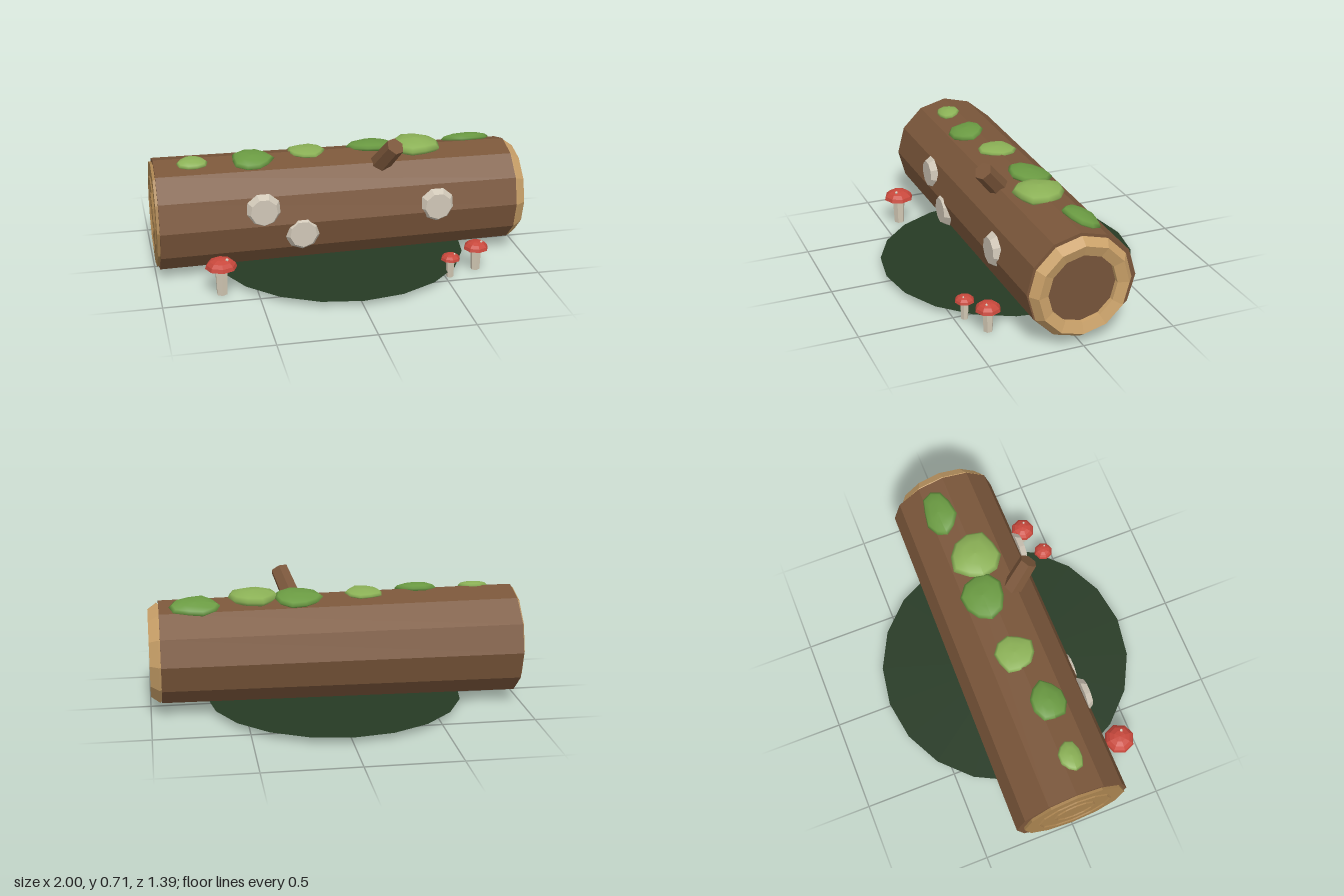
import * as THREE from 'three';

const mat = (color, flat = true) =>
  new THREE.MeshStandardMaterial({ color, flatShading: flat, side: THREE.DoubleSide });

const BARK = mat(0x7a563a), WOOD = mat(0xc9a068), CUT = mat(0xa8824f), HOLLOW = mat(0x75543a);
const MOSS = [mat(0x8bb156, false), mat(0x6a9a42, false)];
const RED = mat(0xc8483c), STEM = mat(0xd2c8b4), FUNGUS = mat(0xcfc6b6), SPOT = mat(0xd8cfc0);
const GRASS = mat(0x263a24), SHADE = mat(0x1c2b1a);
const AXIS_Y = 0.31;

export function createModel() {
  const model = new THREE.Group();
  const add = (name, geo, material, x = 0, y = 0, z = 0, parent = model) => {
    const mesh = new THREE.Mesh(geo, material);
    mesh.name = name;
    mesh.position.set(x, y, z);
    parent.add(mesh);
    return mesh;
  };

  // Tapered twelve-sided trunk lying along x, slightly fuller at the back
  const trunk = new THREE.CylinderGeometry(0.282, 0.3, 1.92, 12, 1).rotateZ(-Math.PI / 2);
  const p = trunk.attributes.position;
  for (let i = 0; i < p.count; i++) {
    const z = p.getZ(i);
    p.setZ(i, z < -0.2 ? z * 1.07 : z);
  }
  add('trunk', trunk, BARK, -0.02, AXIS_Y, 0);

  // Hollow end: faceted wooden rim around a dark disc
  add('hollowRim', new THREE.TorusGeometry(0.225, 0.05, 5, 12).rotateY(Math.PI / 2), WOOD, 0.95, AXIS_Y - 0.005, 0);
  add('hollowFace', new THREE.CircleGeometry(0.2, 12).rotateY(Math.PI / 2), HOLLOW, 0.953, AXIS_Y - 0.005, 0);

  // Sawn end with growth rings
  add('sawnFace', new THREE.CylinderGeometry(0.282, 0.282, 0.03, 12).rotateZ(Math.PI / 2), CUT, -0.979, AXIS_Y, 0);
  for (const r of [0.2, 0.11]) {
    add('growthRing', new THREE.TorusGeometry(r, 0.012, 4, 12).rotateY(Math.PI / 2), CUT, -0.988, AXIS_Y, 0);
  }

  // Broken branch stub leaning up and forward
  const base = new THREE.Vector3(0.195, 0.5, 0.09), tip = new THREE.Vector3(0.268, 0.68, 0.24);
  const dir = tip.clone().sub(base);
  const mid = base.clone().add(tip).multiplyScalar(0.5);
  const stub = add('branchStub', new THREE.CylinderGeometry(0.05, 0.056, dir.length(), 6), BARK, mid.x, mid.y, mid.z);
  stub.quaternion.setFromUnitVectors(new THREE.Vector3(0, 1, 0), dir.normalize());

  // Moss cushions hugging the top: x, z, half length, half width, thickness, shade
  const patches = [
    [-0.78, 0.05, 0.085, 0.065, 0.022, 0],
    [-0.465, 0.055, 0.115, 0.1, 0.03, 1],
    [-0.16, -0.01, 0.105, 0.11, 0.02, 0],
    [0.2, -0.045, 0.135, 0.12, 0.03, 1],
    [0.435, 0, 0.14, 0.14, 0.042, 0],
    [0.75, -0.09, 0.14, 0.09, 0.03, 1],
  ];
  patches.forEach(([x, z, a, b, h, shade], n) => {
    const geo = new THREE.SphereGeometry(1, 10, 6);
    const v = geo.attributes.position;
    for (let i = 0; i < v.count; i++) {
      const ang = Math.atan2(v.getZ(i), v.getX(i));
      const k = 0.97 + 0.06 * Math.sin(3 * ang + n * 1.7) + 0.04 * Math.sin(5 * ang + n);
      v.setXYZ(i, v.getX(i) * k * a, v.getY(i) * h, v.getZ(i) * k * b);
    }
    geo.computeVertexNormals();
    const tilt = Math.asin(z / 0.29);
    const r = 0.287 - 0.008 * x;
    const patch = add('mossPatch', geo, MOSS[shade], x, AXIS_Y + r * Math.cos(tilt), z);
    patch.rotation.x = tilt;
  });

  // Pale bracket fungi on the front
  for (const [x, y] of [[-0.44, 0.39], [-0.235, 0.25], [0.495, 0.345]]) {
    add('bracketFungus', new THREE.CylinderGeometry(0.072, 0.095, 0.035, 9).rotateX(Math.PI / 2), FUNGUS, x, y, 0.285);
  }

  // Toadstools: x, z, stem height, stem radius, cap radius, cap height
  const toadstools = [
    [-0.685, 0.4, 0.15, 0.032, 0.083, 0.052],
    [0.525, 0.445, 0.1, 0.021, 0.052, 0.035],
    [0.685, 0.38, 0.12, 0.027, 0.067, 0.045],
  ];
  for (const [x, z, height, r, capR, capH] of toadstools) {
    const t = new THREE.Group();
    t.name = 'toadstool';
    t.position.set(x, 0, z);
    model.add(t);
    add('stem', new THREE.CylinderGeometry(r * 1.1, r * 0.9, height, 6), STEM, 0, height / 2, 0, t);
    const dome = new THREE.SphereGeometry(1, 8, 4, 0, Math.PI * 2, 0, Math.PI / 2).scale(capR, capH, capR);
    add('cap', dome, RED, 0, height, 0, t);
    add('capUnderside', new THREE.CircleGeometry(capR, 8).rotateX(Math.PI / 2), RED, 0, height, 0, t);
    add('capSpot', new THREE.IcosahedronGeometry(capR * 0.11), SPOT, capR * 0.35, height + capH * 0.94, capR * 0.25, t);
  }

  // Grass disc under the log with a smaller disc beneath it
  add('grassDisc', new THREE.CircleGeometry(0.695, 20).rotateX(-Math.PI / 2), GRASS, 0, 0.032, 0);
  add('shadeDisc', new THREE.CircleGeometry(0.42, 20).rotateX(-Math.PI / 2), SHADE, 0, 0.028, 0);

  return model;
}
